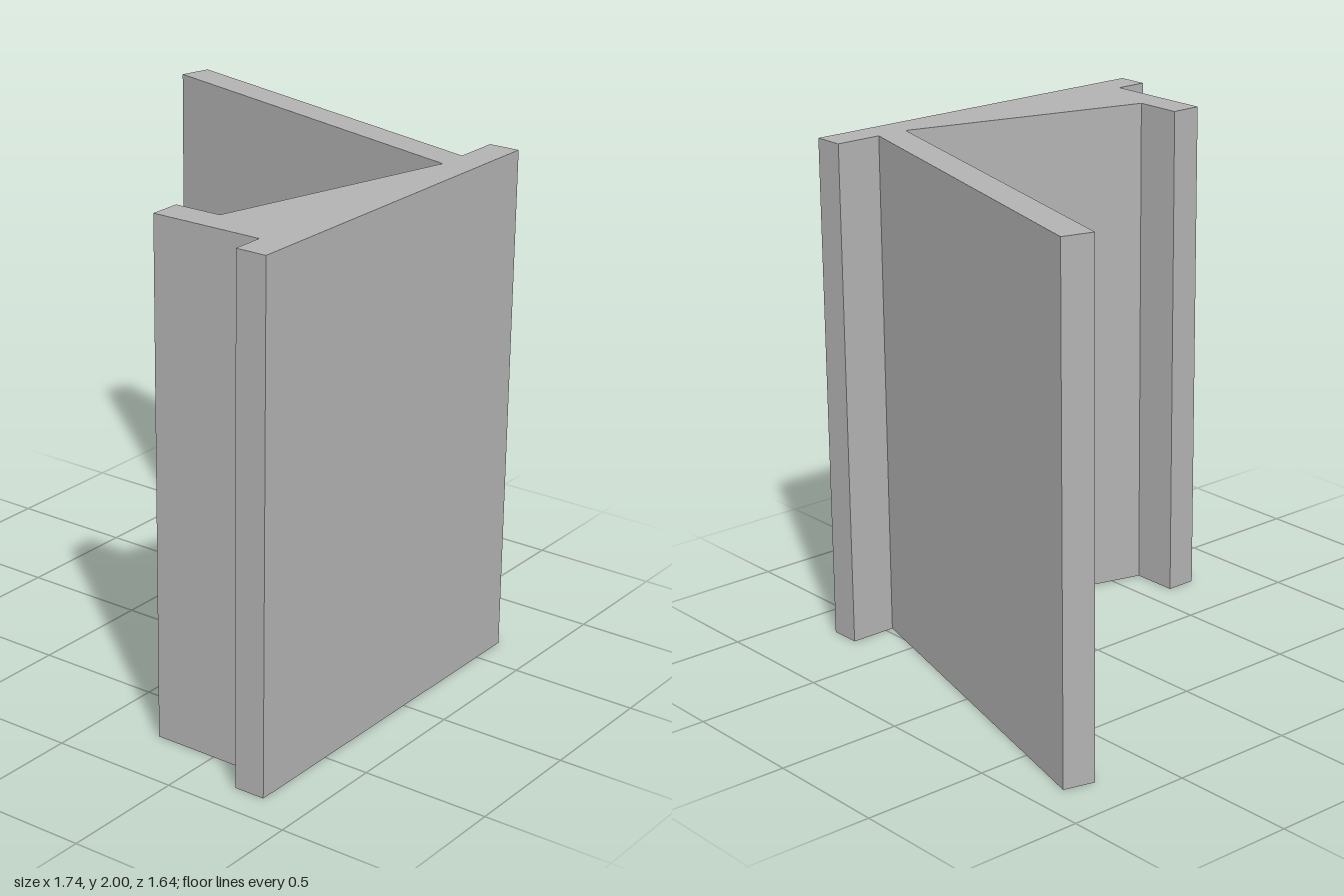
import * as THREE from 'three';

export function createModel() {
  const group = new THREE.Group();
  const grey = new THREE.MeshStandardMaterial({ color: 0xb3b3b3 });
  grey.name = 'plain grey';

  // Plan outline as (x, z): front plate, short rear lip, sloped web and slanted fin
  const outline = [
    [-0.87, 0.82], [0.656, 0.82], [0.656, 0.697], [0.469, 0.697],
    [0.87, -0.788], [0.749, -0.82], [0.342, 0.697],
    [-0.621, 0.437], [-0.621, 0.248], [-0.744, 0.248],
    [-0.744, 0.697], [-0.87, 0.697],
  ];
  const shape = new THREE.Shape(outline.map(([x, z]) => new THREE.Vector2(x, -z)));

  // Extrude the outline and stand it upright
  const geometry = new THREE.ExtrudeGeometry(shape, { depth: 2, bevelEnabled: false });
  geometry.rotateX(-Math.PI / 2);

  const profile = new THREE.Mesh(geometry, grey);
  profile.name = 'extrudedProfile';
  group.add(profile);
  return group;
}
